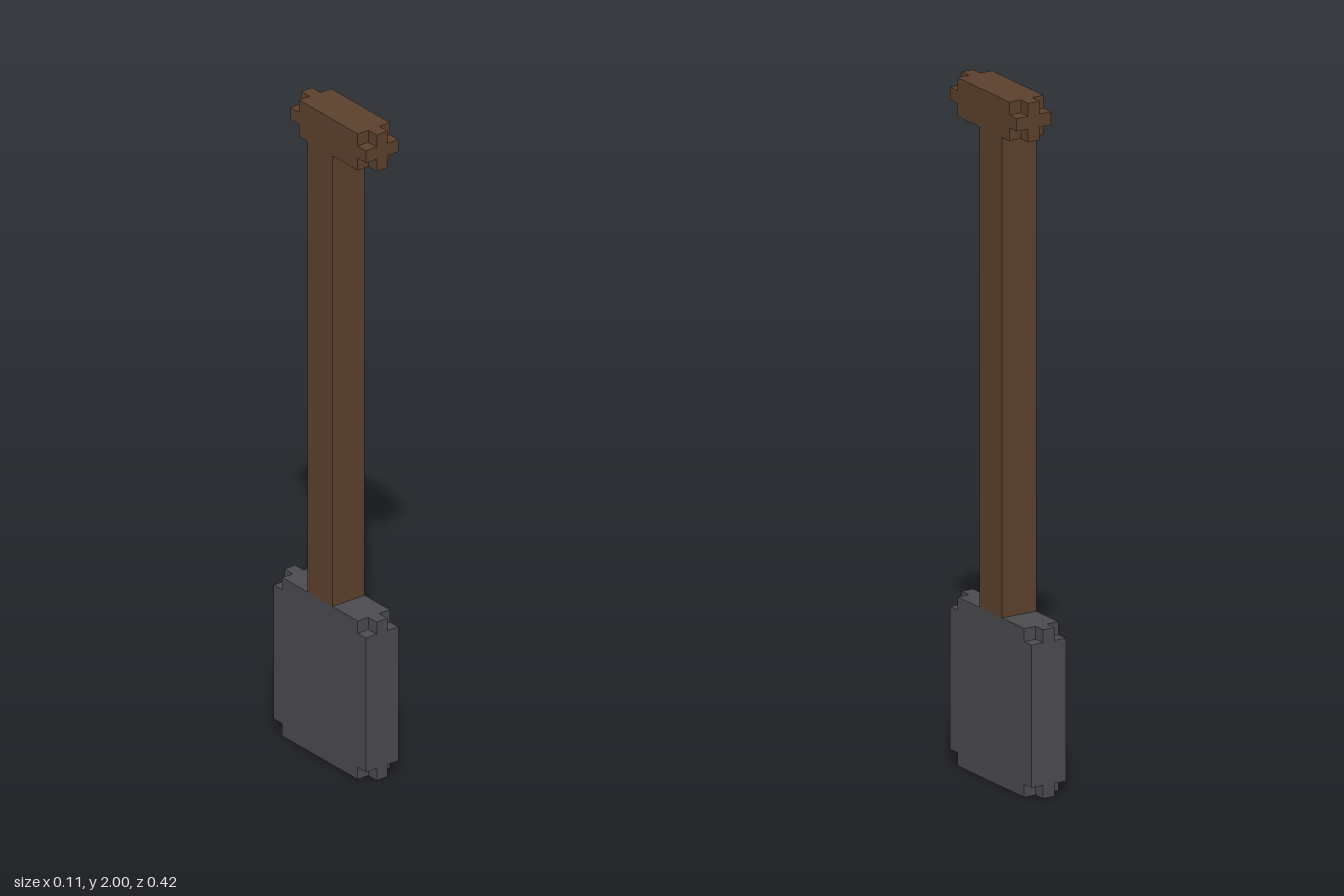
import * as THREE from 'three';

const V = 2 / 53; // one voxel

const wood = new THREE.MeshStandardMaterial({ color: 0x5b412d });
wood.name = 'brown wood';
const iron = new THREE.MeshStandardMaterial({ color: 0x4b4a4e });
iron.name = 'dark iron';

// rectangle outline, with one voxel cut from each corner
function notchedOutline(w, d) {
  const a = w / 2, b = d / 2;
  const pts = [
    [a, b - 1], [a - 1, b - 1], [a - 1, b], [1 - a, b], [1 - a, b - 1], [-a, b - 1],
    [-a, 1 - b], [1 - a, 1 - b], [1 - a, -b], [a - 1, -b], [a - 1, 1 - b], [a, 1 - b],
  ];
  return new THREE.Shape(pts.map(([x, y]) => new THREE.Vector2(x * V, y * V)));
}

// block with its eight corner voxels missing: two notched layers around a plain core
function notchedBlock(name, material, w, h, d, y, z) {
  const group = new THREE.Group();
  group.name = name;
  const core = new THREE.Mesh(new THREE.BoxGeometry(w * V, (h - 2) * V, d * V), material);
  core.name = name + 'Core';
  core.position.y = (h / 2) * V;
  group.add(core);
  const layer = new THREE.ExtrudeGeometry(notchedOutline(w, d), { depth: V, bevelEnabled: false });
  layer.rotateX(-Math.PI / 2);
  [['Bottom', 0], ['Top', h - 1]].forEach(([end, level]) => {
    const mesh = new THREE.Mesh(layer, material);
    mesh.name = name + end;
    mesh.position.y = level * V;
    group.add(mesh);
  });
  group.position.set(0, y * V, z * V);
  return group;
}

export function createModel() {
  const model = new THREE.Group();
  model.name = 'shovel';

  // flat blade
  model.add(notchedBlock('blade', iron, 3, 13, 11, 0, 0));

  // square shaft
  const shaft = new THREE.Mesh(new THREE.BoxGeometry(3 * V, 37 * V, 3 * V), wood);
  shaft.name = 'shaft';
  shaft.position.y = (13 + 37 / 2) * V;
  model.add(shaft);

  // cross grip, longer toward the front
  model.add(notchedBlock('grip', wood, 3, 3, 9, 50, 1));

  return model;
}
